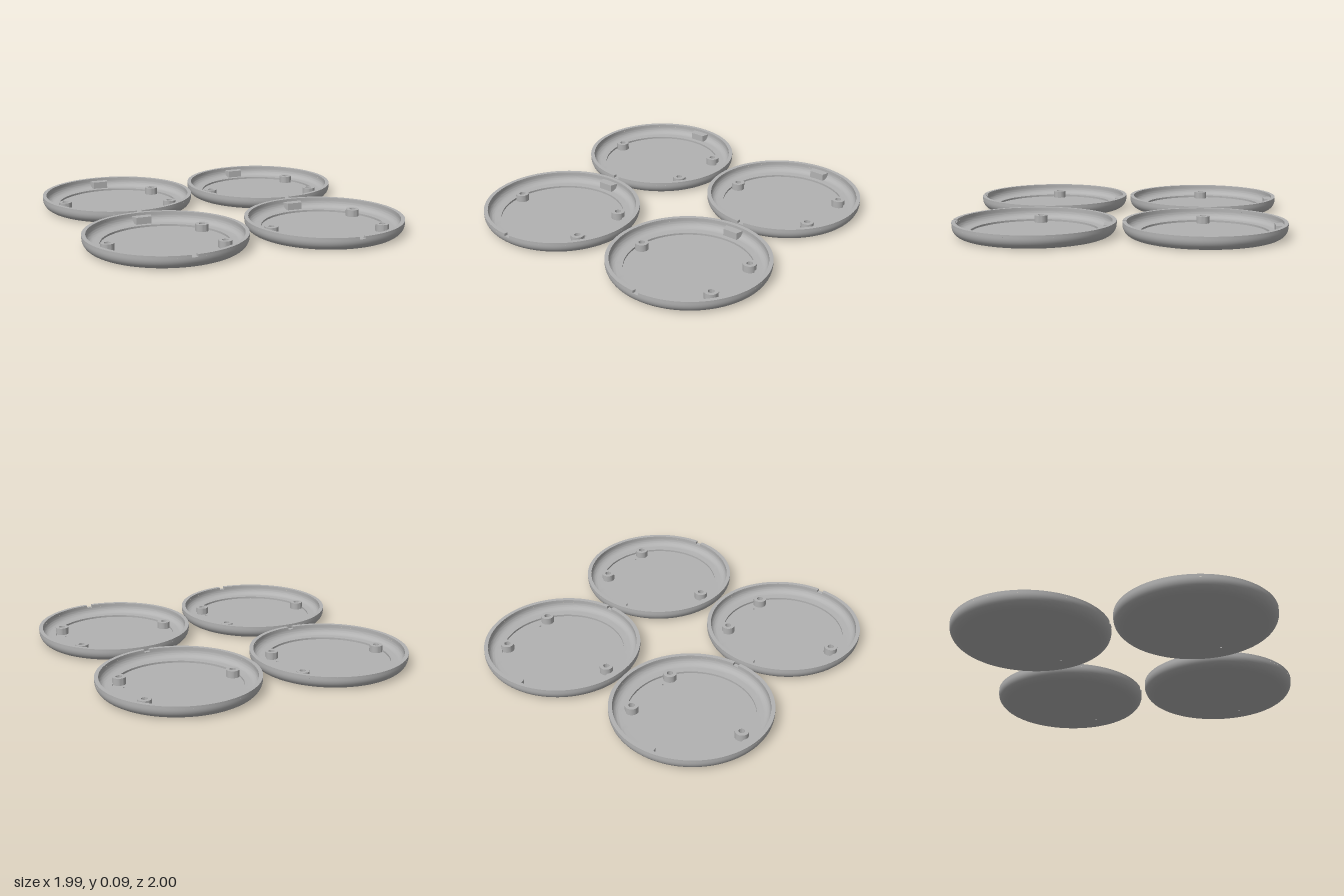
import * as THREE from 'three';
import { toCreasedNormals } from 'three/addons/utils/BufferGeometryUtils.js';

const R = 0.487, RIM = 0.463, H = 0.085;      // outer radius, inner wall radius, height
const FLOOR_R = 0.383, FLOOR_Y = 0.012;       // recessed floor
const FILLET_X = 0.422, FILLET_Y = 0.065;     // shared centre of both fillets
const NOTCH_Y = 0.069, NOTCH_HALF = 0.039;    // notch floor, half angle
const SEG = 96;

const v = (x, y) => new THREE.Vector2(x, y);

function lathe(points, segments = SEG, start = 0, length = Math.PI * 2) {
  return toCreasedNormals(new THREE.LatheGeometry(points, segments, start, length), 0.5);
}

// Quarter round from straight down to straight out
function fillet(radius) {
  return Array.from({ length: 11 }, (_, i) => {
    const a = (i / 10) * Math.PI / 2;
    return v(FILLET_X + radius * Math.sin(a), FILLET_Y - radius * Math.cos(a));
  });
}

// Extrude a plan outline upwards (outline y becomes -z)
function slab(shape, height, y = 0) {
  const g = new THREE.ExtrudeGeometry(shape, { depth: height, bevelEnabled: false, curveSegments: 48 });
  return g.rotateX(-Math.PI / 2).translate(0, y, 0);
}

export function createModel() {
  const grey = new THREE.MeshStandardMaterial({ color: 0xb2b2b2 });
  grey.name = 'grey plastic';

  // Rounded outside and inside of the bowl, below the notch level
  const outer = lathe([v(FLOOR_R, 0), ...fillet(R - FILLET_X), v(R, NOTCH_Y)]);
  const inner = lathe([v(RIM, NOTCH_Y), ...fillet(RIM - FILLET_X).reverse(),
    v(FLOOR_R, FILLET_Y - (RIM - FILLET_X)), v(FLOOR_R, FLOOR_Y)]);

  // Rim with a gap at the front, plus the bottom and ends of the notch
  const rim = lathe([v(R, NOTCH_Y), v(R, H), v(RIM, H), v(RIM, NOTCH_Y)],
    SEG, NOTCH_HALF, Math.PI * 2 - NOTCH_HALF * 2);
  const notchBottom = lathe([v(R, NOTCH_Y), v(RIM, NOTCH_Y)], 4, -NOTCH_HALF, NOTCH_HALF * 2);
  const notchEnd = (side) => new THREE.PlaneGeometry(R - RIM, H - NOTCH_Y)
    .rotateY(-side * Math.PI / 2)
    .translate(0, (H + NOTCH_Y) / 2, (R + RIM) / 2)
    .rotateY(side * NOTCH_HALF);

  // Flat floor pierced by a pinhole
  const disc = new THREE.Shape().absarc(0, 0, FLOOR_R, 0, Math.PI * 2);
  disc.holes.push(new THREE.Path().absarc(0.295, -0.117, 0.007, 0, Math.PI * 2, true));
  const floor = slab(disc, FLOOR_Y);

  // Tapered block against the back wall
  const outline = new THREE.Shape([v(-0.048, 0.412), v(0.048, 0.412), v(0.062, 0.465), v(-0.062, 0.465)]);
  const block = slab(outline, 0.048, 0.02);

  // Hollow screw post
  const post = lathe([v(0.041, FLOOR_Y), v(0.041, 0.056), v(0.019, 0.056), v(0.019, FLOOR_Y)], 32);

  function createDish() {
    const dish = new THREE.Group();
    const add = (name, geometry, x = 0, z = 0) => {
      const mesh = new THREE.Mesh(geometry, grey);
      mesh.name = name;
      mesh.position.set(x, 0, z);
      dish.add(mesh);
    };
    add('outerShell', outer);
    add('innerShell', inner);
    add('rim', rim);
    add('notchBottom', notchBottom);
    add('notchLeftEnd', notchEnd(1));
    add('notchRightEnd', notchEnd(-1));
    add('floor', floor);
    add('backBlock', block);
    for (const [x, z] of [[-0.351, 0], [0.296, -0.189], [0.296, 0.189]]) add('screwPost', post, x, z);
    return dish;
  }

  // Four dishes laid out in a loose square
  const model = new THREE.Group();
  model.name = 'dishSet';
  const places = {
    backRightDish: [-0.499, -0.513],
    backLeftDish: [0.506, -0.495],
    frontRightDish: [-0.506, 0.489],
    frontLeftDish: [0.506, 0.513],
  };
  for (const [name, [x, z]] of Object.entries(places)) {
    const dish = createDish();
    dish.name = name;
    dish.position.set(x, 0, z);
    model.add(dish);
  }
  return model;
}
